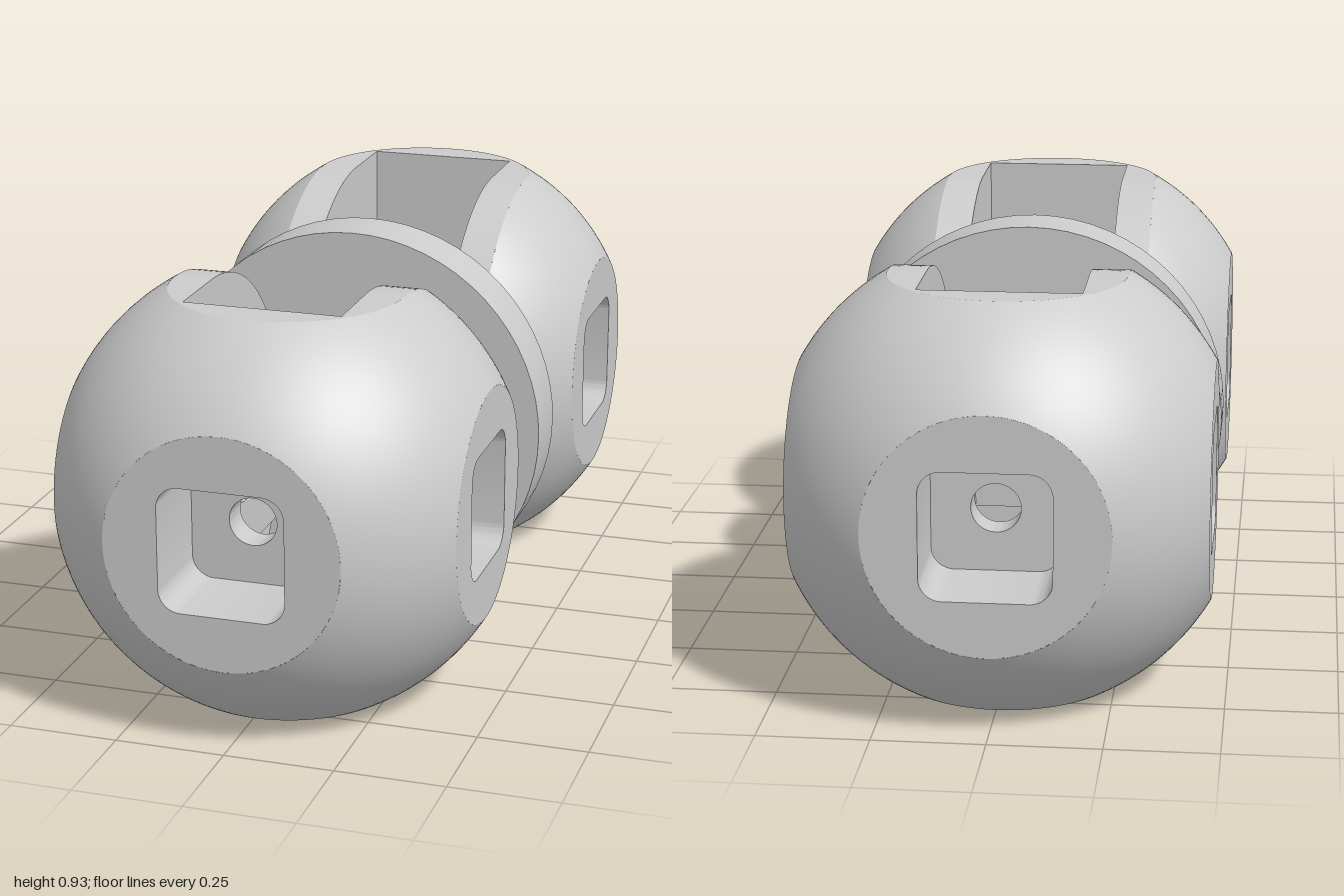
import * as THREE from 'three';
import { toCreasedNormals } from 'three/addons/utils/BufferGeometryUtils.js';

const A = 0.4625;                 // ball centre to each flat
const R = A / Math.cos(Math.PI / 6); // ball radius
const C = R / 2;                  // radius of the flats
const SLOT = 0.18;                // half width and end of the slot
const BORE = 0.055;               // pin and cord hole radius
const BALL_Z = 0.5375;
const PI = Math.PI;

const material = new THREE.MeshStandardMaterial({ color: 0xcccccc });

function part(name, geometry, parent) {
  const mesh = new THREE.Mesh(geometry, material);
  mesh.name = name;
  parent.add(mesh);
  return mesh;
}

function circle(r) {
  const s = new THREE.Shape();
  s.absarc(0, 0, r, 0, PI * 2, false);
  return s;
}

function rect(x0, x1, y) {
  return new THREE.Shape([[x0, -y], [x1, -y], [x1, y], [x0, y]].map(p => new THREE.Vector2(...p)));
}

// Square window with rounded corners
function roundedSquare(h, r) {
  const s = new THREE.Shape(), k = h - r;
  s.absarc(k, k, r, 0, PI / 2, false);
  s.absarc(-k, k, r, PI / 2, PI, false);
  s.absarc(-k, -k, r, PI, PI * 1.5, false);
  s.absarc(k, -k, r, PI * 1.5, PI * 2, false);
  s.closePath();
  return s;
}

function pierce(shape, hole) {
  shape.holes.push(hole);
  return shape;
}

function extrude(shape, z0, z1) {
  const g = new THREE.ExtrudeGeometry(shape, { depth: z1 - z0, bevelEnabled: false, curveSegments: 32 });
  return toCreasedNormals(g.translate(0, 0, z0), 0.5);
}

// Flat with a recessed window and a bored floor, facing +z
function makePort() {
  const port = new THREE.Group();
  port.name = 'recessedPort';
  const floorZ = A - 0.21;
  part('portCollar', extrude(pierce(circle(C), roundedSquare(0.1425, 0.05)), floorZ, A), port);
  part('portFloor', extrude(pierce(circle(0.22), circle(BORE)), SLOT + 0.001, floorZ), port);
  return port;
}

// Spherical band between the front flat and the top flat
function bandGeometry() {
  const g = new THREE.PlaneGeometry(1, 1, 64, 24);
  const p = g.attributes.position, n = g.attributes.normal;
  for (let i = 0; i < p.count; i++) {
    const x = 2 * C * p.getX(i);
    const r = Math.sqrt(R * R - x * x);
    const k = Math.min(1, A / r);
    const phi = THREE.MathUtils.lerp(Math.acos(k), Math.asin(k), p.getY(i) + 0.5);
    const v = new THREE.Vector3(x, r * Math.sin(phi), r * Math.cos(phi));
    p.setXYZ(i, v.x, v.y, v.z);
    v.normalize();
    n.setXYZ(i, v.x, v.y, v.z);
  }
  return g;
}

// Top flat: half disc notched by the slot
function topFlatGeometry() {
  const s = new THREE.Shape();
  s.moveTo(-SLOT, 0);
  s.lineTo(-C, 0);
  s.absarc(0, 0, C, PI, PI * 2, false);
  s.lineTo(SLOT, 0);
  s.lineTo(SLOT, -SLOT);
  s.lineTo(-SLOT, -SLOT);
  s.closePath();
  return new THREE.ShapeGeometry(s, 48).rotateX(-PI / 2).translate(0, A, 0);
}

// Side wall of the slot at +x, facing inwards
function slotWallGeometry() {
  const s = new THREE.Shape();
  s.moveTo(SLOT, -A);
  s.lineTo(SLOT, A);
  s.lineTo(0, A);
  s.absarc(0, 0, A, PI / 2, PI * 1.5, false);
  s.closePath();
  pierce(s, circle(BORE));
  return new THREE.ShapeGeometry(s, 48).rotateY(-PI / 2).translate(SLOT, 0, 0);
}

// Slotted ball with its outer flat facing +z
function makeBall() {
  const ball = new THREE.Group();
  ball.name = 'slottedBall';

  for (const turn of [0, PI / 2, -PI / 2]) {
    const port = makePort();
    port.rotation.y = turn;
    ball.add(port);
  }

  // Each half turn about z repeats the skin on the opposite side
  for (const turn of [0, PI]) {
    const half = new THREE.Group();
    half.name = 'ballHalf';
    half.rotation.z = turn;
    ball.add(half);
    part('roundBand', bandGeometry(), half);
    part('endFlat', topFlatGeometry(), half);
    part('slotWall', slotWallGeometry(), half);
    part('roundCheek', new THREE.SphereGeometry(R, 96, 20, 0, PI * 2, PI / 6, PI / 6).rotateZ(-PI / 2), half);
    part('innerRim', new THREE.CylinderGeometry(A, A, C - SLOT, 64, 1, true, PI / 2, PI)
      .rotateZ(PI / 2).translate((C + SLOT) / 2, 0, 0), half);
  }

  const end = pierce(rect(-SLOT, SLOT, A), circle(BORE));
  part('slotEnd', new THREE.ShapeGeometry(end, 32).rotateY(PI).translate(0, 0, SLOT), ball);
  return ball;
}

// Fork reaching from the disc towards +z
function makeFork() {
  const fork = new THREE.Group();
  fork.name = 'fork';
  const h = 0.175, pinZ = 0.533, inner = 0.11, outer = 0.177;
  part('forkBase', extrude(pierce(rect(-inner, inner, h), circle(BORE)), 0.06, 0.2475), fork);

  const s = new THREE.Shape();
  s.moveTo(0.06, -h);
  s.lineTo(pinZ, -h);
  s.absarc(pinZ, 0, h, -PI / 2, PI / 2, false);
  s.lineTo(0.06, h);
  s.closePath();
  const hole = new THREE.Path();
  hole.absarc(pinZ, 0, BORE, 0, PI * 2, false);
  pierce(s, hole);
  for (const x of [inner, -outer]) {
    part('forkArm', extrude(s, 0, outer - inner).rotateY(-PI / 2).translate(x + outer - inner, 0, 0), fork);
  }
  return fork;
}

export function createModel() {
  const model = new THREE.Group();
  model.name = 'doubleBallJoint';

  // Central link: disc with a fork on each side
  const link = new THREE.Group();
  link.name = 'centralLink';
  link.position.set(0, A, 0.004);
  model.add(link);
  const discShape = pierce(circle(A), circle(BORE));
  part('disc', extrude(discShape, -0.071, 0.071), link);

  for (const side of [1, -1]) {
    const turn = side > 0 ? 0 : PI;
    const fork = makeFork();
    fork.rotation.y = turn;
    link.add(fork);

    const ball = makeBall();
    ball.position.set(0, A, side * BALL_Z);
    ball.rotation.y = turn;
    model.add(ball);
  }
  return model;
}
